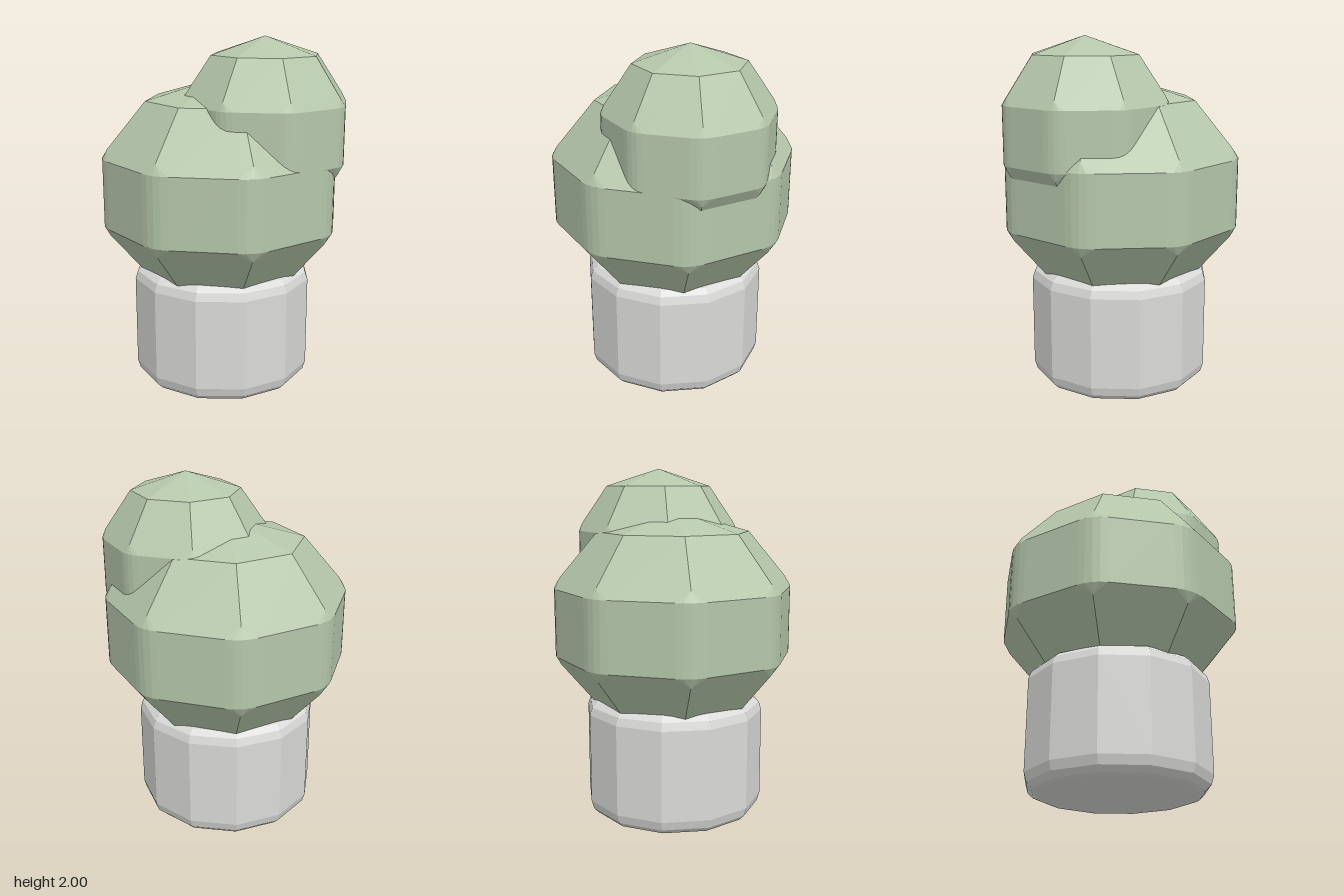
import * as THREE from 'three';

// Faceted normals for a low-poly look
function faceted(geometry) {
  const g = geometry.index ? geometry.toNonIndexed() : geometry;
  g.computeVertexNormals();
  return g;
}

// Eight-sided blob: straight wall with rounded corners, sloped shoulders and shallow caps.
// R = corner radius, r = cap radius; heights are measured from the middle.
function blobGeometry({ R, r, wallY, capY, apexY, bevel }) {
  const SIDES = 8, STEPS = 4, pos = [];
  const at = (radius, i, y) => {
    const a = (i * Math.PI * 2) / SIDES;
    return new THREE.Vector3(radius * Math.cos(a), y, radius * Math.sin(a));
  };
  const face = (pts, flip) => {
    const p = flip ? [...pts].reverse() : pts;
    for (let k = 1; k < p.length - 1; k++) {
      for (const v of [p[0], p[k], p[k + 1]]) pos.push(v.x, v.y, v.z);
    }
  };
  // Rounded corner i of the octagon
  const corner = (i, y) => {
    const c = at(R, i, y);
    const toward = (j) => c.clone().add(at(R, j, y).sub(c).setLength(bevel));
    return new THREE.QuadraticBezierCurve3(toward(i - 1), c, toward(i + 1)).getPoints(STEPS);
  };

  for (let i = 0; i < SIDES; i++) {
    for (const s of [1, -1]) {
      const flip = s < 0;
      const cap = (j) => at(r, j, s * capY);
      const ridge = (j) => at(R, j, s * wallY).lerp(cap(j), 0.18);
      const arc = corner(i, s * wallY), next = corner(i + 1, s * wallY);
      face([new THREE.Vector3(0, s * apexY, 0), cap(i + 1), cap(i)], flip);
      face([cap(i), cap(i + 1), ridge(i + 1), next[0], arc[STEPS], ridge(i)], flip);
      for (let k = 0; k < STEPS; k++) face([ridge(i), arc[k + 1], arc[k]], flip);
    }
    // Wall: the rounded corner, then the flat panel
    const top = [...corner(i, wallY), corner(i + 1, wallY)[0]];
    const low = [...corner(i, -wallY), corner(i + 1, -wallY)[0]];
    for (let k = 0; k < top.length - 1; k++) face([top[k], top[k + 1], low[k + 1], low[k]]);
  }
  const g = new THREE.BufferGeometry();
  g.setAttribute('position', new THREE.Float32BufferAttribute(pos, 3));
  return faceted(g);
}

export function createModel() {
  const group = new THREE.Group();
  group.name = 'pottedBush';
  const green = new THREE.MeshStandardMaterial({ color: 0xb5c7ab });
  green.name = 'sageGreen';
  const grey = new THREE.MeshStandardMaterial({ color: 0xdadad8 });
  grey.name = 'lightGrey';

  const add = (name, geometry, material, x, y, z) => {
    const mesh = new THREE.Mesh(geometry, material);
    mesh.name = name;
    mesh.position.set(x, y, z);
    group.add(mesh);
  };

  // Twelve-sided pot with softened rims
  const profile = [
    [0, 0], [0.45, 0], [0.475, 0.01], [0.505, 0.04], [0.52, 0.09],
    [0.52, 0.61], [0.505, 0.655], [0.475, 0.682], [0.44, 0.69], [0, 0.69],
  ].map(([x, y]) => new THREE.Vector2(x, y));
  add('pot', faceted(new THREE.LatheGeometry(profile, 12)), grey, -0.005, 0, 0);

  // Large bush and the smaller one growing out of its front left
  add('largeBush', blobGeometry({
    R: 0.705, r: 0.44, wallY: 0.195, capY: 0.51, apexY: 0.635, bevel: 0.09,
  }), green, -0.005, 1.135, 0);
  add('smallBush', blobGeometry({
    R: 0.487, r: 0.308, wallY: 0.16, capY: 0.42, apexY: 0.52, bevel: 0.065,
  }), green, 0.208, 1.48, 0.13);

  return group;
}
